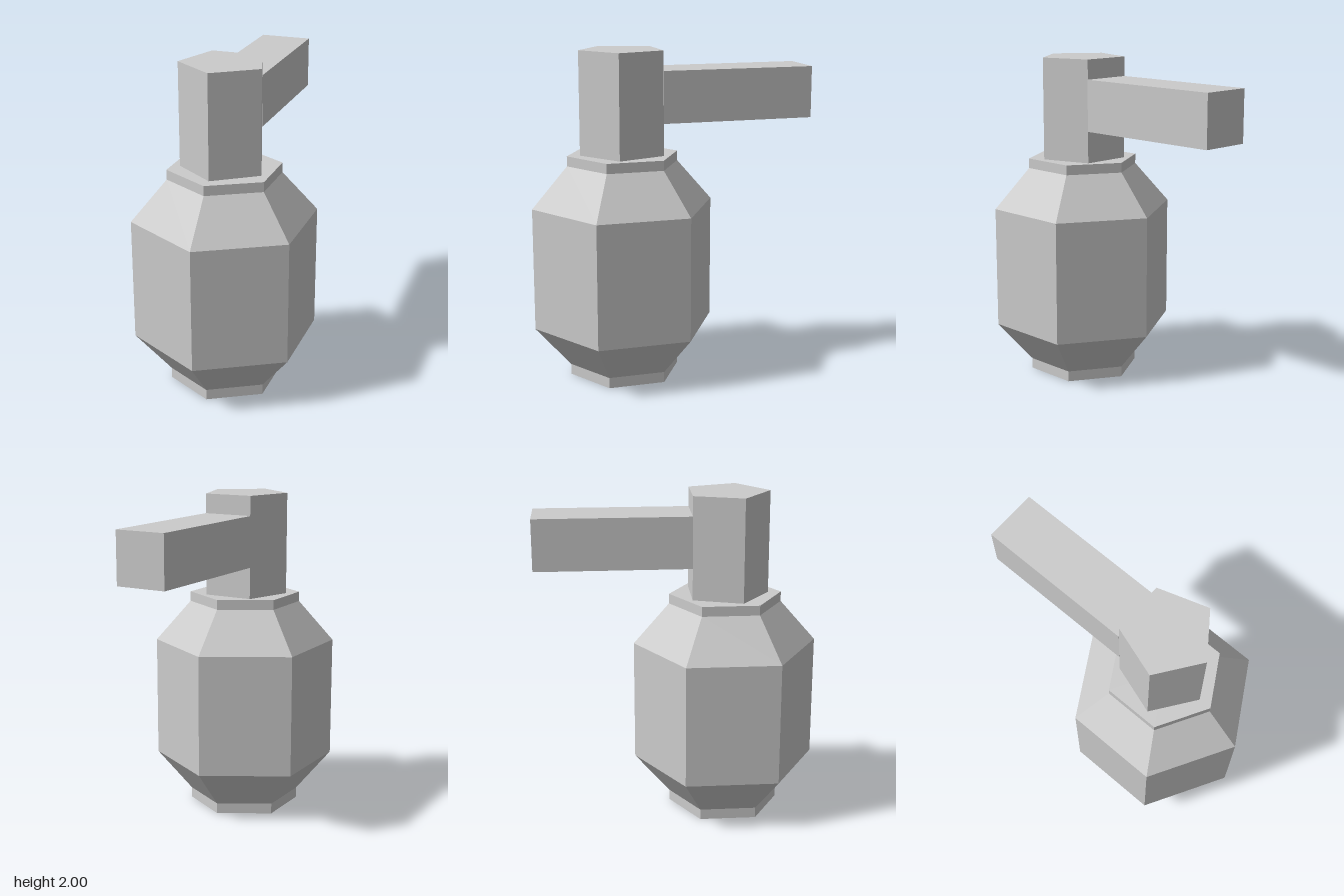
import * as THREE from 'three';

export function createModel() {
  const model = new THREE.Group();
  const material = new THREE.MeshStandardMaterial({ color: 0xcccccc, flatShading: true });
  const axisZ = 0.296; // the body and neck share this upright axis

  const add = (name, geometry, x, y, z) => {
    const mesh = new THREE.Mesh(geometry, material);
    mesh.name = name;
    mesh.position.set(x, y, z);
    model.add(mesh);
    return mesh;
  };

  // Six-sided body with a foot and collar, turned from one profile
  const profile = [
    [0, 0], [0.343, 0], [0.343, 0.065], [0.56, 0.315],
    [0.56, 1.065], [0.343, 1.315], [0.343, 1.375], [0, 1.375],
  ].map(([r, y]) => new THREE.Vector2(r, y));
  add('body', new THREE.LatheGeometry(profile, 6), 0, 0, axisZ);

  // Five-sided neck, one corner to the front and a flat at the back
  const neckBottom = 1.375, neckTop = 2, neckRadius = 0.263;
  add('neck', new THREE.CylinderGeometry(neckRadius, neckRadius, neckTop - neckBottom, 5),
    0, (neckBottom + neckTop) / 2, axisZ);

  // Square lever reaching back from the neck's flat
  const leverFront = axisZ - neckRadius * Math.cos(Math.PI / 5), leverBack = -0.856;
  add('lever', new THREE.BoxGeometry(0.313, 0.313, leverFront - leverBack),
    0, 1.724, (leverFront + leverBack) / 2);

  return model;
}
